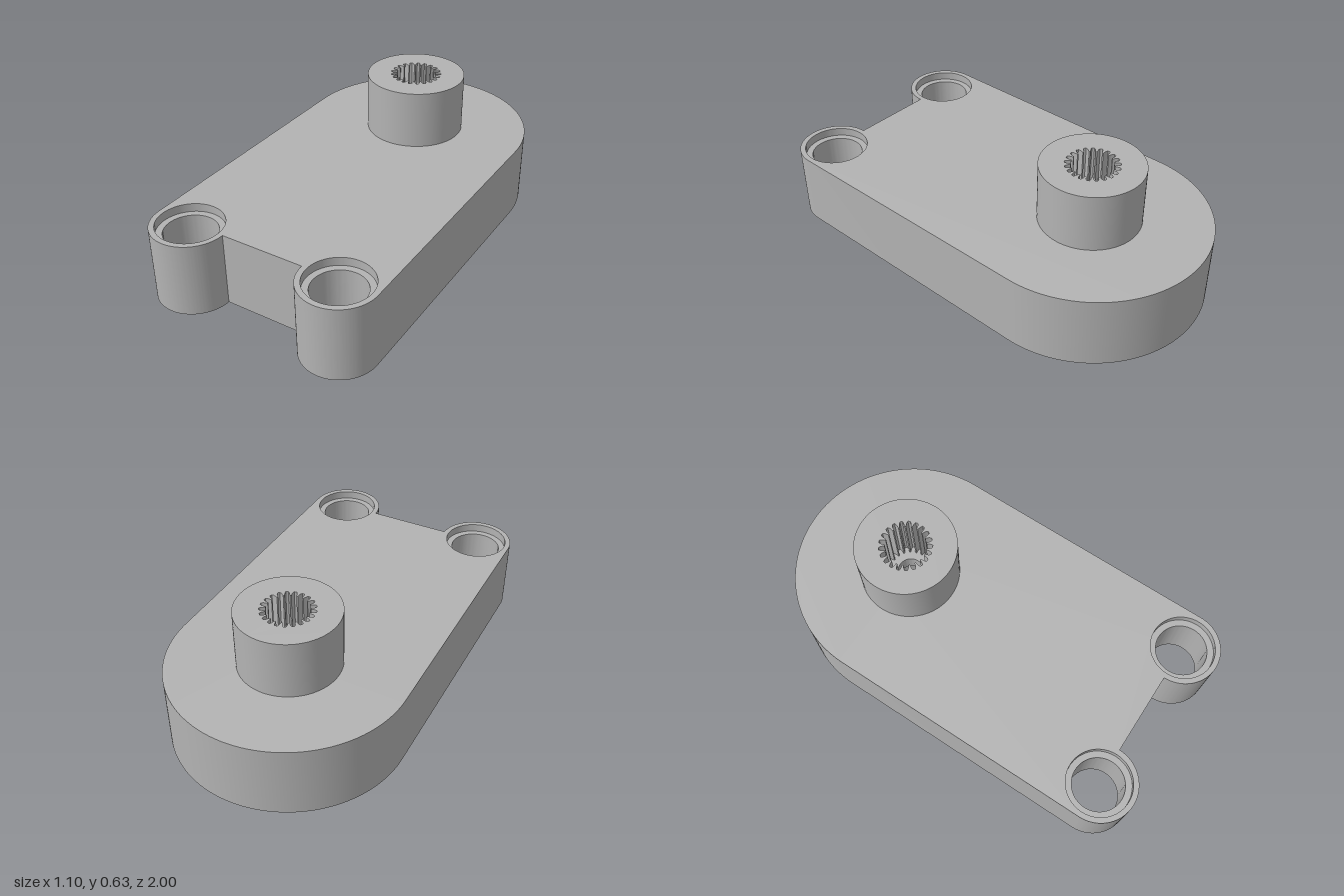
import * as THREE from 'three';
import { toCreasedNormals } from 'three/addons/utils/BufferGeometryUtils.js';

const PIVOT_Z = -0.45, LUG_X = 0.375, LUG_Z = 0.825;
const THICKNESS = 0.35, TOP = 0.63;

const circle = (Type, x, z, r) => new Type().absarc(x, -z, r, 0, Math.PI * 2, false);

// Extrude a plan shape (x, -z) upwards from y0 to y1
function slab(name, shape, y0, y1, material) {
  const geometry = new THREE.ExtrudeGeometry(shape, { depth: y1 - y0, bevelEnabled: false, curveSegments: 48 });
  geometry.rotateX(-Math.PI / 2).translate(0, y0, 0);
  const mesh = new THREE.Mesh(toCreasedNormals(geometry, 0.4), material);
  mesh.name = name;
  return mesh;
}

function ring(name, x, z, outer, inner, y0, y1, material) {
  const shape = circle(THREE.Shape, x, z, outer);
  shape.holes.push(circle(THREE.Path, x, z, inner));
  return slab(name, shape, y0, y1, material);
}

// Toothed socket outline: rounded grooves separated by narrow teeth
function splinePath(x, z, inner, outer, teeth) {
  const points = [];
  const profile = [[0.0, 0], [0.22, 0], [0.32, 0.65], [0.46, 1], [0.76, 1], [0.9, 0.65]];
  for (let i = 0; i < teeth; i++) {
    for (const [t, k] of profile) {
      const a = ((i + t) / teeth) * Math.PI * 2, r = inner + (outer - inner) * k;
      points.push(new THREE.Vector2(x + r * Math.cos(a), -z + r * Math.sin(a)));
    }
  }
  return new THREE.Path(points);
}

export function createModel() {
  const group = new THREE.Group();
  group.name = 'leverArm';
  const grey = new THREE.MeshStandardMaterial({ color: 0xb3b3b3 });
  grey.name = 'grey';

  // Arm plate: round back end, two round lugs in front
  const outline = new THREE.Shape();
  outline.absarc(LUG_X, -LUG_Z, 0.175, 0, -Math.PI, true);
  outline.absarc(-LUG_X, -LUG_Z, 0.175, 0, -Math.PI, true);
  outline.absarc(0, -PIVOT_Z, 0.55, Math.PI, 0, true);
  outline.closePath();
  outline.holes.push(circle(THREE.Path, 0, PIVOT_Z, 0.12));
  for (const s of [-1, 1]) outline.holes.push(circle(THREE.Path, s * LUG_X, LUG_Z, 0.15));
  group.add(slab('armPlate', outline, 0, THICKNESS, grey));

  // Recessed sleeves narrowing the lug holes
  for (const s of [-1, 1]) {
    group.add(ring(s > 0 ? 'leftLugSleeve' : 'rightLugSleeve', s * LUG_X, LUG_Z, 0.15, 0.12, 0.04, THICKNESS - 0.04, grey));
  }

  // Pivot boss with toothed socket
  const boss = circle(THREE.Shape, 0, PIVOT_Z, 0.235);
  boss.holes.push(splinePath(0, PIVOT_Z, 0.095, 0.122, 21));
  group.add(slab('pivotBoss', boss, THICKNESS, TOP, grey));

  // Web with the screw hole under the socket
  group.add(ring('screwWeb', 0, PIVOT_Z, 0.12, 0.06, 0.27, THICKNESS, grey));
  return group;
}
